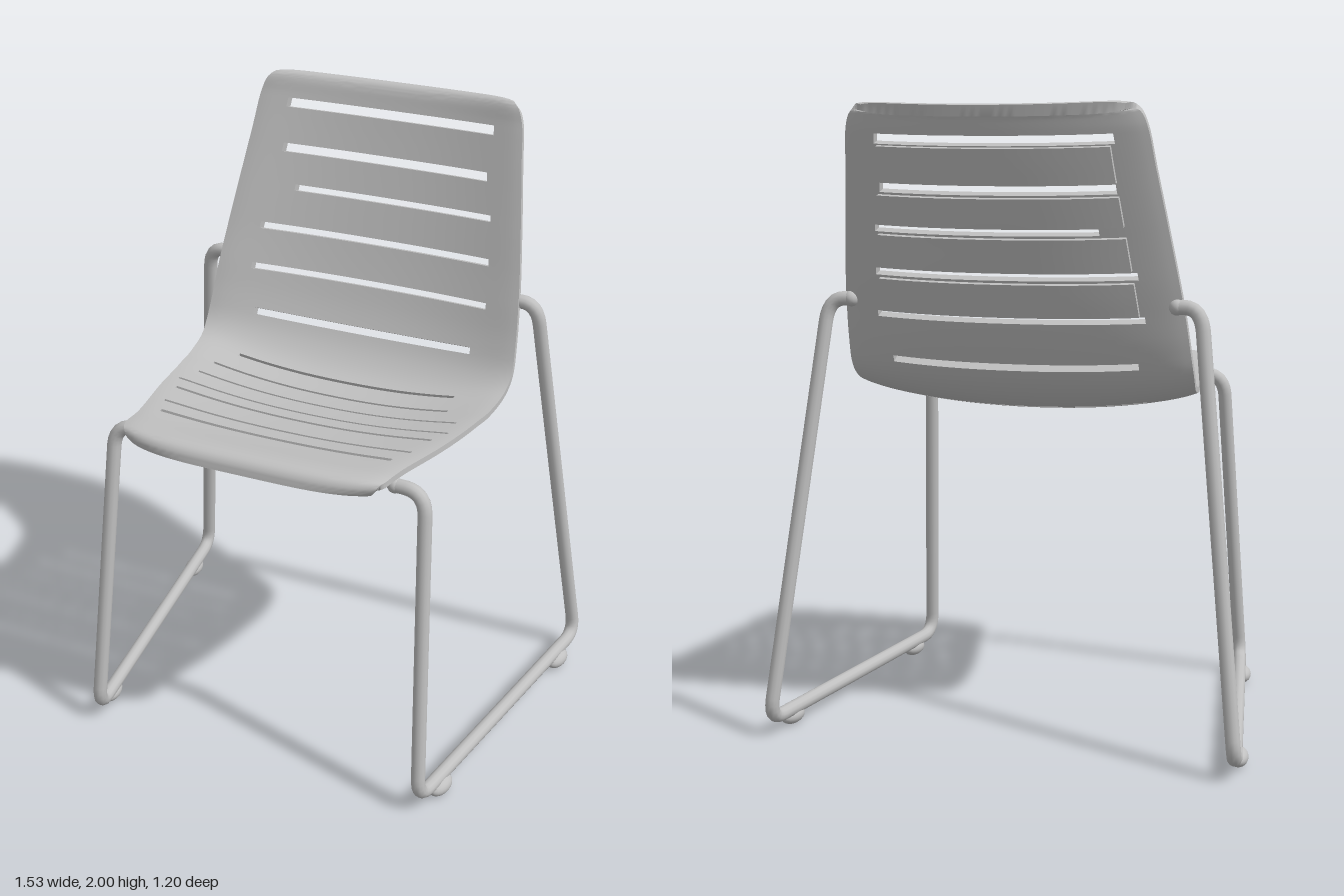
import * as THREE from 'three';
import { toCreasedNormals } from 'three/addons/utils/BufferGeometryUtils.js';

// Seat profile from front lip to top lip: half width, y, z, side lift
const PROFILE = [
  [0.40, 1.105, 0.592, 0.0], [0.425, 1.135, 0.583, 0.0], [0.44, 1.142, 0.55, 0.0],
  [0.455, 1.115, 0.42, 0.02], [0.50, 1.08, 0.2, 0.04], [0.53, 1.056, 0.0, 0.055],
  [0.543, 1.052, -0.1, 0.06], [0.552, 1.078, -0.2, 0.06], [0.557, 1.14, -0.275, 0.06],
  [0.552, 1.24, -0.335, 0.06], [0.54, 1.38, -0.39, 0.06], [0.51, 1.6, -0.46, 0.055],
  [0.48, 1.8, -0.52, 0.05], [0.462, 1.92, -0.553, 0.045], [0.445, 1.962, -0.565, 0.045],
  [0.425, 1.975, -0.575, 0.045], [0.40, 1.972, -0.592, 0.045],
];
// Slots: axis read along, position, left x, right x, opening
const BACK_SLOTS = [
  ['y', 1.20, -0.39, 0.39, 0.022], ['y', 1.35, -0.42, 0.42, 0.02], ['y', 1.485, -0.41, 0.41, 0.022],
  ['y', 1.62, -0.31, 0.40, 0.02], ['y', 1.745, -0.37, 0.37, 0.028], ['y', 1.89, -0.37, 0.37, 0.03],
];
const SEAT_SLOTS = [
  ['z', 0.385, -0.40, 0.40, 0.018], ['z', 0.305, -0.43, 0.43, 0.012], ['z', 0.19, -0.45, 0.45, 0.014],
  ['z', 0.12, -0.48, 0.47, 0.01], ['z', 0.03, -0.46, 0.47, 0.01], ['z', -0.065, -0.44, 0.41, 0.012],
  ['z', -0.16, -0.40, 0.40, 0.012],
];
const HALF = 0.017;

const spine = new THREE.CatmullRomCurve3(PROFILE.map(([w, y, z]) => new THREE.Vector3(w, y, z)));

function liftAt(t) {
  const f = t * (PROFILE.length - 1), i = Math.min(Math.floor(f), PROFILE.length - 2);
  return THREE.MathUtils.lerp(PROFILE[i][3], PROFILE[i + 1][3], f - i);
}

// Curve parameter where the profile reaches a given y (back) or z (seat)
function findT(axis, value) {
  let a = axis === 'y' ? 0.4 : 0.05, b = 0.94;
  const sign = axis === 'y' ? 1 : -1;
  for (let i = 0; i < 40; i++) {
    const m = (a + b) / 2;
    if (sign * (spine.getPoint(m)[axis] - value) < 0) a = m; else b = m;
  }
  return (a + b) / 2;
}

// Point on the bent shell: u across (-1..1), t along, off along the normal
function shellPoint(u, t, off) {
  const c = spine.getPoint(t), d = spine.getTangent(t);
  const len = Math.hypot(d.y, d.z);
  const lift = liftAt(t) * Math.abs(u) ** 2.2;
  const k = THREE.MathUtils.smoothstep(t, 0.38, 0.62);
  const o = off * (1 - 0.45 * Math.abs(u) ** 14);
  const retreat = 0.045 * u ** 4 * Math.max(0, 1 - t / 0.2);
  return [
    u * c.x,
    c.y + lift * (1 - 0.75 * k) - o * d.z / len,
    c.z + lift * 0.97 * k + o * d.y / len - retreat,
  ];
}

// Closed sheet over a grid, with walls wherever a solid cell meets a gap
function sheet(us, ts, solid, top, bottom) {
  const pos = [];
  const quad = (a, b, c, d) => pos.push(...a, ...b, ...c, ...a, ...c, ...d);
  const has = (i, j) => i >= 0 && j >= 0 && i < us.length - 1 && j < ts.length - 1 &&
    solid((us[i] + us[i + 1]) / 2, (ts[j] + ts[j + 1]) / 2);
  for (let i = 0; i < us.length - 1; i++) {
    for (let j = 0; j < ts.length - 1; j++) {
      if (!has(i, j)) continue;
      const corners = [[i, j], [i + 1, j], [i + 1, j + 1], [i, j + 1]];
      const hi = corners.map(([p, q]) => shellPoint(us[p], ts[q], top));
      const lo = corners.map(([p, q]) => shellPoint(us[p], ts[q], bottom));
      quad(...hi);
      quad(lo[3], lo[2], lo[1], lo[0]);
      [[0, -1], [1, 0], [0, 1], [-1, 0]].forEach(([di, dj], e) => {
        const f = (e + 1) % 4;
        if (!has(i + di, j + dj)) quad(lo[e], lo[f], hi[f], hi[e]);
      });
    }
  }
  const g = new THREE.BufferGeometry();
  g.setAttribute('position', new THREE.Float32BufferAttribute(pos, 3));
  return toCreasedNormals(g, 0.7);
}

const range = (a, b, n) => Array.from({ length: n + 1 }, (_, i) => a + (b - a) * i / n);

// Polyline with rounded corners
function roundedPath(points, radius) {
  const path = new THREE.CurvePath();
  let from = points[0];
  for (let i = 1; i < points.length - 1; i++) {
    const p = points[i];
    const cut = q => p.clone().add(q.clone().sub(p).setLength(Math.min(radius, q.distanceTo(p) * 0.7)));
    const a = cut(points[i - 1]), b = cut(points[i + 1]);
    path.add(new THREE.LineCurve3(from, a));
    path.add(new THREE.QuadraticBezierCurve3(a, p, b));
    from = b;
  }
  path.add(new THREE.LineCurve3(from, points[points.length - 1]));
  return path;
}

export function createModel() {
  const model = new THREE.Group();
  model.name = 'chair';
  const grey = new THREE.MeshStandardMaterial({ color: 0xc0c0c0 });
  grey.name = 'light grey';
  const add = (name, geometry, parent = model) => {
    const mesh = new THREE.Mesh(geometry, grey);
    mesh.name = name;
    parent.add(mesh);
    return mesh;
  };

  // Slotted one-piece seat and back
  const slots = [...SEAT_SLOTS, ...BACK_SLOTS].map(([axis, v, left, right, size]) => {
    const t1 = findT(axis, v - size / 2), t2 = findT(axis, v + size / 2);
    return { t0: Math.min(t1, t2), t1: Math.max(t1, t2), left, right };
  });
  const ts = [...range(0, 1, 80), ...slots.flatMap(s => [s.t0, s.t1])].sort((a, b) => a - b);
  const solid = (u, t) => {
    const x = u * spine.getPoint(t).x;
    return !slots.some(s => t > s.t0 && t < s.t1 && x > s.left && x < s.right);
  };
  add('seatShell', sheet(range(-1, 1, 56), ts, solid, HALF, -HALF));

  // Raised slats on the rear of the back
  const back = slots.slice(SEAT_SLOTS.length);
  for (let i = 1; i < back.length - 1; i++) {
    const a = back[i].t1 + 0.002, b = back[i + 1].t0 - 0.002;
    add('backSlat', sheet(range(-0.76, 0.76, 24), range(a, b, 6), () => true, -HALF + 0.004, -HALF - 0.014));
  }

  // Sled frames with glides, one per side
  for (const side of [1, -1]) {
    const frame = new THREE.Group();
    frame.name = side > 0 ? 'leftFrame' : 'rightFrame';
    model.add(frame);
    const points = [
      [0.52, 1.395, -0.35], [0.595, 1.395, -0.35], [0.748, 0.055, -0.54],
      [0.583, 0.055, 0.568], [0.53, 1.09, 0.44], [0.43, 1.09, 0.435],
    ].map(([x, y, z]) => new THREE.Vector3(side * x, y, z));
    add('legTube', new THREE.TubeGeometry(roundedPath(points, 0.075), 200, 0.023, 12), frame);
    for (const end of [points[0], points[5]]) {
      add('tubeEnd', new THREE.SphereGeometry(0.025, 14, 10), frame).position.copy(end);
    }
    for (const z of [0.44, -0.39]) {
      const foot = add('glide', new THREE.SphereGeometry(1, 20, 12), frame);
      foot.scale.set(0.032, 0.029, 0.055);
      foot.position.set(side * (0.592 + (0.568 - z) * 0.149), 0.029, z);
      foot.rotation.y = -side * 0.148;
    }
  }
  return model;
}
